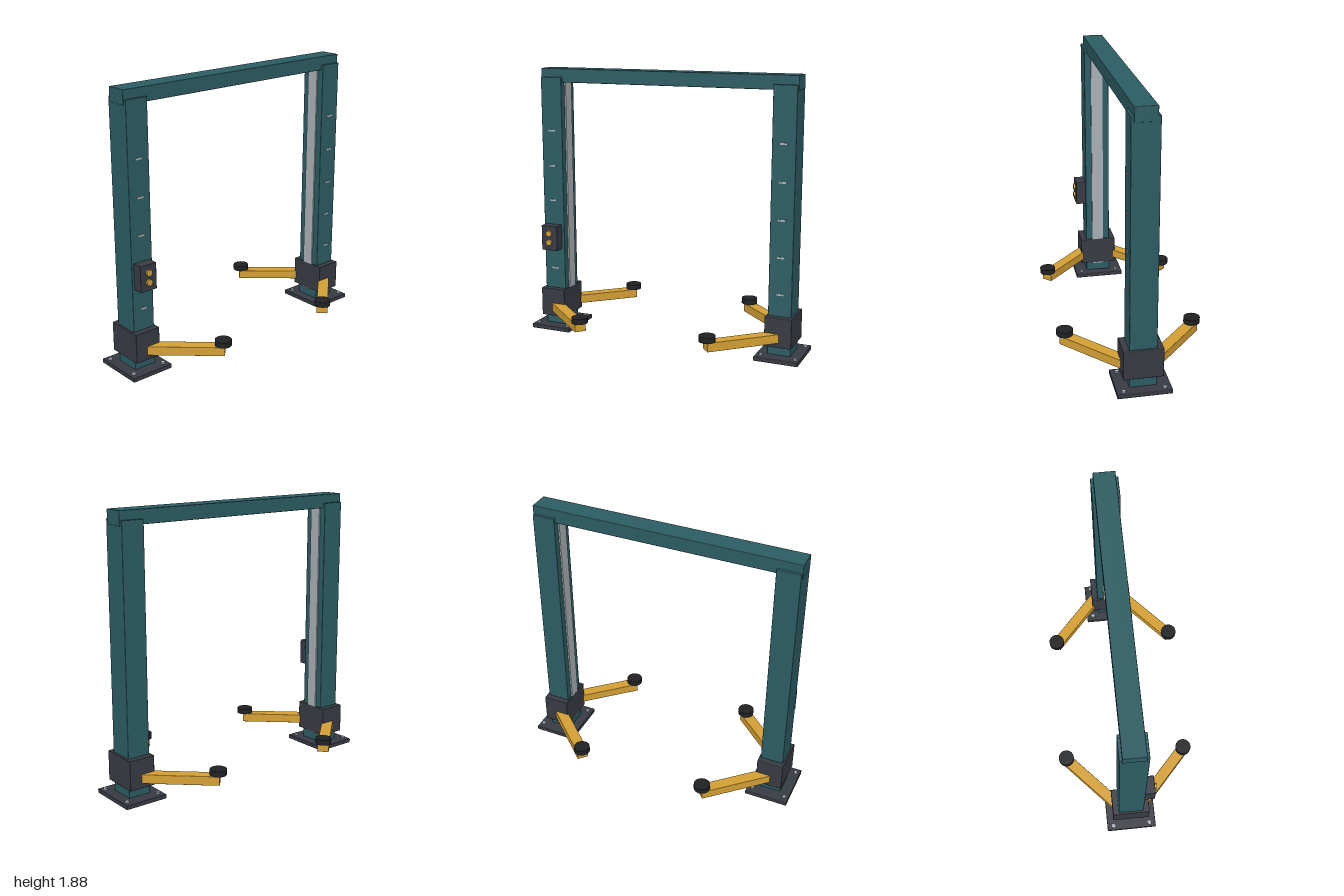
import * as THREE from 'three';
import { RoundedBoxGeometry } from 'three/addons/geometries/RoundedBoxGeometry.js';

const paint = (name, color) => Object.assign(new THREE.MeshStandardMaterial({ color }), { name });

export function createModel() {
  const teal = paint('teal paint', 0x2c5d64);
  const charcoal = paint('charcoal steel', 0x373b43);
  const yellow = paint('yellow paint', 0xd5a033);
  const rubber = paint('black rubber', 0x1f2123);
  const steel = paint('bare steel', 0xaab0b5);

  const model = new THREE.Group();
  model.name = 'twoPostLift';

  const add = (parent, name, geometry, material, x, y, z) => {
    const mesh = new THREE.Mesh(geometry, material);
    mesh.name = name;
    mesh.position.set(x, y, z);
    parent.add(mesh);
    return mesh;
  };
  // Slightly softened box
  const block = (w, h, d, r = 0.004) => new RoundedBoxGeometry(w, h, d, 1, r);

  const postX = 0.845;
  const armAngle = THREE.MathUtils.degToRad(42.5);
  const armLength = 0.505;

  for (const side of [-1, 1]) {
    const post = new THREE.Group();
    post.name = side < 0 ? 'rightPost' : 'leftPost';
    model.add(post);

    // Floor plate with four anchor bolts
    add(post, 'basePlate', block(0.304, 0.03, 0.36), charcoal, side * 0.848, 0.015, 0);
    for (const dx of [-0.118, 0.118]) {
      for (const z of [-0.134, 0.134]) {
        add(post, 'anchorBolt', new THREE.CylinderGeometry(0.015, 0.015, 0.012, 6),
          steel, side * (0.852 + dx), 0.035, z);
      }
    }

    // Column with guide rail on the inner face
    add(post, 'column', block(0.16, 1.797, 0.18), teal, side * postX, 0.9265, 0);
    add(post, 'guideRail', new THREE.BoxGeometry(0.012, 1.7, 0.085), steel, side * 0.761, 0.94, 0);

    // Height marks on the front
    for (let i = 0; i < 5; i++) {
      add(post, 'heightMark', new THREE.BoxGeometry(0.05, 0.012, 0.008),
        steel, side * postX, 0.45 + i * 0.25, 0.091);
    }

    // Sliding carriage
    add(post, 'carriage', block(0.186, 0.205, 0.265), charcoal, side * 0.847, 0.1975, 0);

    // Swing arms with lifting pads, front and back
    for (const end of [-1, 1]) {
      const arm = new THREE.Group();
      arm.name = end > 0 ? 'frontSwingArm' : 'backSwingArm';
      arm.position.set(side * 0.829, 0, end * 0.104);
      // Local +x runs from the carriage to the tip
      arm.rotation.y = Math.atan2(-end * Math.sin(armAngle), -side * Math.cos(armAngle));
      add(arm, 'armBeam', block(armLength, 0.062, 0.08, 0.003), yellow, armLength / 2, 0.16, 0);
      add(arm, 'liftPad', new THREE.CylinderGeometry(0.056, 0.056, 0.038, 24),
        rubber, armLength - 0.012, 0.211, 0);
      post.add(arm);
    }
  }

  // Overhead cross beam
  add(model, 'crossBeam', block(1.86, 0.096, 0.145), teal, 0, 1.837, 0);

  // Control box with two push buttons
  add(model, 'controlBox', block(0.125, 0.18, 0.075), charcoal, -0.8475, 0.685, 0.125);
  for (const y of [0.655, 0.72]) {
    const button = add(model, 'pushButton', new THREE.CylinderGeometry(0.022, 0.022, 0.016, 12),
      yellow, -0.8475, y, 0.168);
    button.rotation.x = Math.PI / 2;
  }

  return model;
}
